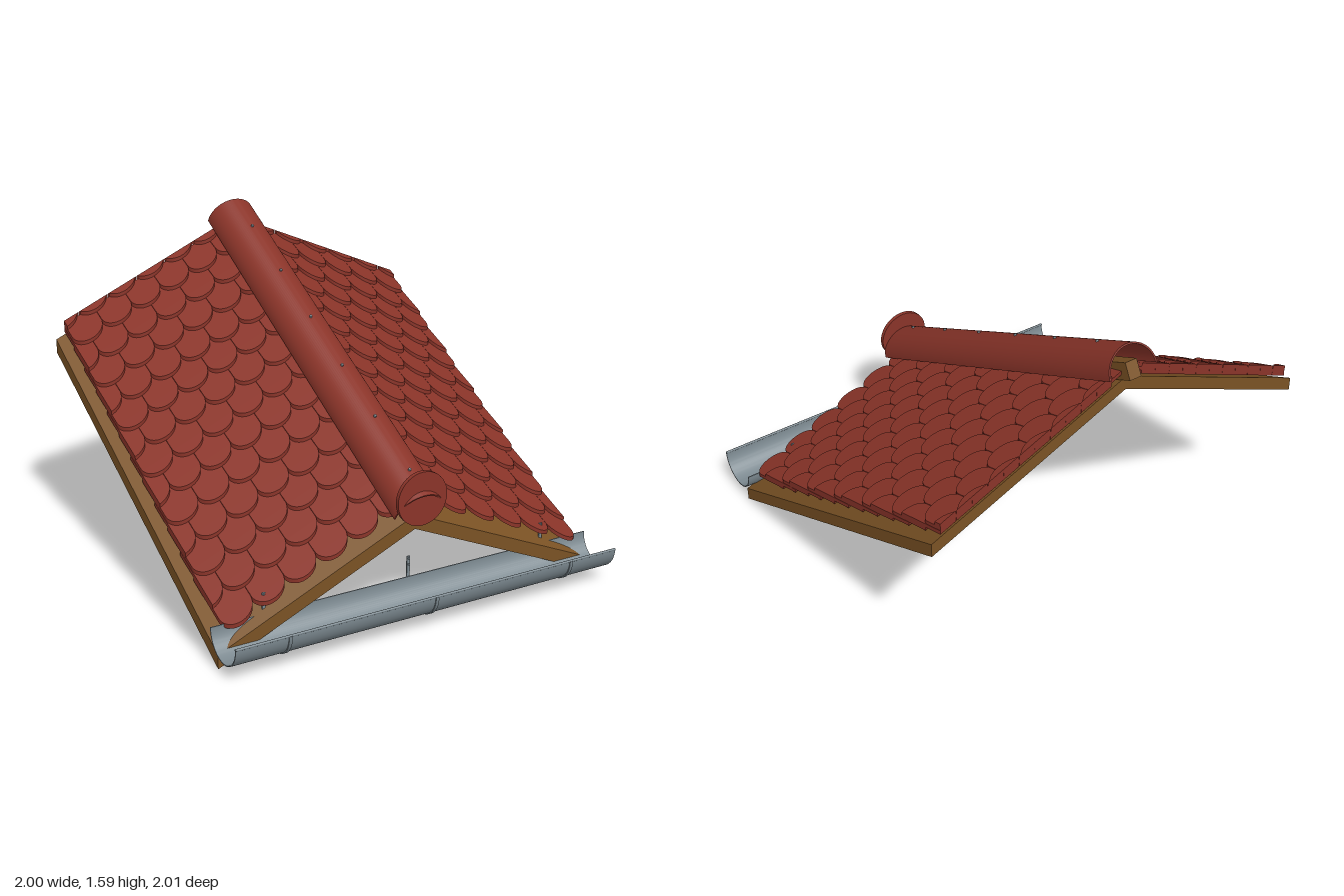
import * as THREE from 'three';
import { mergeGeometries, toCreasedNormals } from 'three/addons/utils/BufferGeometryUtils.js';

const FRONT = 0.805, BACK = -0.945;   // z of the eave and the upper edge
const RISE = 0.5286, FALL = 0.44;     // slope along z and away from the ridge
const BOARD = 0.068;                  // vertical board thickness
const under = (x, z) => 0.44 - FALL * Math.abs(x) + RISE * (FRONT - z);

const mat = (name, color, side = THREE.FrontSide) => {
  const m = new THREE.MeshStandardMaterial({ color, side });
  m.name = name;
  return m;
};

function add(parent, name, geometry, material) {
  const mesh = new THREE.Mesh(geometry, material);
  mesh.name = name;
  parent.add(mesh);
  return mesh;
}

// Move each vertex by a rule
function warp(geometry, rule) {
  const p = geometry.attributes.position, v = new THREE.Vector3();
  for (let i = 0; i < p.count; i++) {
    rule(v.fromBufferAttribute(p, i));
    p.setXYZ(i, v.x, v.y, v.z);
  }
  geometry.computeVertexNormals();
  return geometry;
}

// Band between two concentric arcs, extruded along z
function arcBand(outer, inner, from, to, depth) {
  const s = new THREE.Shape();
  s.absarc(0, 0, outer, from, to, false);
  s.absarc(0, 0, inner, to, from, true);
  const g = new THREE.ExtrudeGeometry(s, { depth, bevelEnabled: false, curveSegments: 20 });
  return toCreasedNormals(g, 0.6);
}

// Scalloped tiles in staggered rows, tilted so each row laps the one below
function tileGeometry() {
  const W = 0.1575, H = W / 2, EDGE = 0.945, PITCH = 0.131, LENGTH = 0.32, TIP = 0.075;
  const shape = new THREE.Shape();
  shape.moveTo(-H + 0.001, -LENGTH);
  shape.lineTo(H - 0.001, -LENGTH);
  shape.lineTo(H - 0.001, -TIP);
  shape.absellipse(0, -TIP, H - 0.001, TIP, 0, Math.PI, false);
  shape.closePath();
  const base = new THREE.ExtrudeGeometry(shape, { depth: 0.02, bevelEnabled: false, curveSegments: 14 });
  base.rotateX(Math.PI / 2);
  const tiles = [];
  for (let row = 0; row < 14; row++) {
    const tip = 0.8 - row * PITCH;
    const odd = row % 2;
    for (let col = 0; col < 6; col++) {
      for (const side of [-1, 1]) {
        const cx = side * (odd ? (col + 1) * W : (col + 0.5) * W);
        tiles.push(warp(base.clone(), v => {
          v.x = THREE.MathUtils.clamp(v.x + cx, -EDGE, EDGE);
          const z = Math.max(v.z + tip, BACK);
          const lift = 0.075 - 0.14 * (tip - z);
          v.y += under(v.x, z) + BOARD + lift;
          v.z = z;
        }));
      }
    }
  }
  return mergeGeometries(tiles);
}

export function createModel() {
  const model = new THREE.Group();
  model.name = 'tiledRoof';
  const wood = mat('brown wood', 0x7a5224);
  const clay = mat('red clay', 0x8a3429);
  const metal = mat('grey metal', 0x7c8990, THREE.DoubleSide);

  // Two roof boards meeting in a sloping ridge
  const boards = new THREE.Group();
  boards.name = 'roofBoards';
  model.add(boards);
  for (const side of [-1, 1]) {
    const g = new THREE.BoxGeometry(0.99, BOARD, FRONT - BACK);
    g.translate(side * 0.495, BOARD / 2, (FRONT + BACK) / 2);
    add(boards, side > 0 ? 'leftBoard' : 'rightBoard',
      warp(g.toNonIndexed(), v => { v.y += under(v.x, v.z); }), wood);
  }

  add(model, 'roofTiles', tileGeometry(), clay);

  // Ridge cover, its batten and screws, built along the slope from the upper end
  const ridge = new THREE.Group();
  ridge.name = 'ridge';
  ridge.position.set(0, 1.482, -0.99);
  const slope = Math.atan(RISE);
  ridge.rotation.x = slope;
  model.add(ridge);
  const length = 2.055;
  add(ridge, 'ridgeCover', arcBand(0.125, 0.117, 0, Math.PI, length), clay);
  add(ridge, 'ridgeBatten', new THREE.BoxGeometry(0.06, 0.08, length - 0.1), wood)
    .position.set(0, 0.01, (length - 0.1) / 2);
  for (let i = 0; i < 6; i++) {
    const z = 0.75 - i * 0.298;
    add(ridge, 'ridgeScrew', new THREE.CylinderGeometry(0.007, 0.007, 0.012, 10), metal)
      .position.set(0, 0.127, (z + 0.99 - 0.127 * Math.sin(slope)) / Math.cos(slope));
  }

  // Round plate closing the lower end of the ridge
  const cap = add(model, 'ridgeEndCap', new THREE.CylinderGeometry(0.128, 0.128, 0.02, 40), clay);
  cap.rotation.x = Math.PI / 2;
  cap.position.set(0, 0.607, 0.853);

  // Half-round gutter below the eave
  const gutter = new THREE.Group();
  gutter.name = 'gutter';
  gutter.position.set(0, 0.185, 0.875);
  model.add(gutter);
  const trough = add(gutter, 'trough', arcBand(0.121, 0.116, Math.PI, 2 * Math.PI, 2), metal);
  trough.rotation.y = Math.PI / 2;
  trough.position.x = -1;
  const bead = add(gutter, 'frontBead', new THREE.CylinderGeometry(0.006, 0.006, 2, 10), metal);
  bead.rotation.z = Math.PI / 2;
  bead.position.z = 0.118;

  // Strap brackets with an upright arm behind the gutter
  for (const x of [-0.74, 0, 0.74]) {
    const bracket = new THREE.Group();
    bracket.name = 'gutterBracket';
    bracket.position.x = x;
    gutter.add(bracket);
    const strap = add(bracket, 'strap', arcBand(0.126, 0.12, Math.PI, 2 * Math.PI, 0.016), metal);
    strap.rotation.y = Math.PI / 2;
    strap.position.x = -0.008;
    add(bracket, 'arm', new THREE.BoxGeometry(0.016, 0.1, 0.006), metal).position.set(0, 0.05, -0.123);
    for (const y of [0.06, 0.09]) {
      const screw = add(bracket, 'armScrew', new THREE.CylinderGeometry(0.005, 0.005, 0.01, 8), metal);
      screw.rotation.x = Math.PI / 2;
      screw.position.set(0, y, -0.12);
    }
  }
  return model;
}
